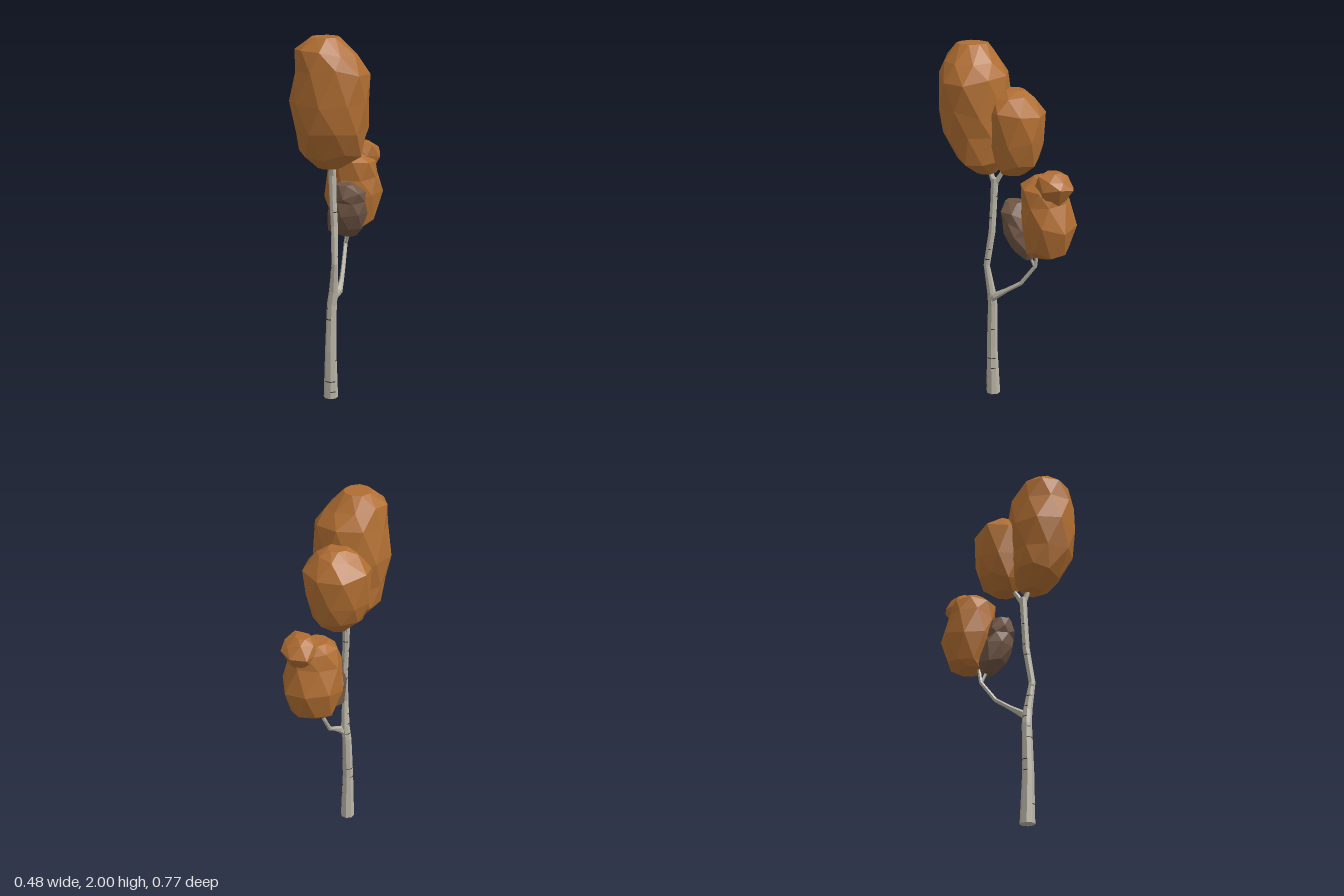
import * as THREE from 'three';

let seed = 7;
const rand = () => (seed = (seed * 16807) % 2147483647) / 2147483647;
const jitter = (a) => (rand() * 2 - 1) * a;

const paint = (color) => new THREE.MeshStandardMaterial({ color, flatShading: true, side: THREE.DoubleSide });
const bark = paint(0xb8b3a5);
const barkMark = paint(0x38332d);
const leaves = paint(0xb06e32);
const dryLeaves = paint(0x705645);

// Closed skin over rings of points, listed bottom to top; stagger makes a faceted triangle pattern
function skin(rings, bottom, top, stagger) {
  const pos = [];
  const tri = (...pts) => pts.forEach((p) => pos.push(p.x, p.y, p.z));
  const n = rings[0].length;
  const last = rings.length - 1;
  for (let k = 0; k < n; k++) {
    tri(bottom, rings[0][k], rings[0][(k + 1) % n]);
    tri(rings[last][k], top, rings[last][(k + 1) % n]);
    for (let i = 0; i < last; i++) {
      const s = stagger ? i % 2 : 0;
      const a = rings[i][k], b = rings[i][(k + 1) % n];
      const c = rings[i + 1][(k + s) % n], d = rings[i + 1][(k + s + 1) % n];
      tri(a, c, b);
      tri(b, c, d);
    }
  }
  const geo = new THREE.BufferGeometry();
  geo.setAttribute('position', new THREE.Float32BufferAttribute(pos, 3));
  geo.computeVertexNormals();
  return geo;
}

// Leaf clump from sections [y, xMin, xMax, zMin, zMax]
function clump(name, material, sides, sections) {
  const rings = sections.map(([y, x0, x1, z0, z1], i) => {
    const inner = i > 0 && i < sections.length - 1;
    return Array.from({ length: sides }, (_, k) => {
      const t = ((k + (i % 2) * 0.5) / sides) * Math.PI * 2;
      const r = 1.01 + jitter(0.05);
      return new THREE.Vector3(
        (x0 + x1) / 2 + (Math.cos(t) * r * (x1 - x0)) / 2,
        y + (inner ? jitter(0.02) : 0),
        (z0 + z1) / 2 + (Math.sin(t) * r * (z1 - z0)) / 2
      );
    });
  });
  const centre = ([y, x0, x1, z0, z1]) => new THREE.Vector3((x0 + x1) / 2, y, (z0 + z1) / 2);
  const mesh = new THREE.Mesh(skin(rings, centre(sections[0]), centre(sections.at(-1)), true), material);
  mesh.name = name;
  return mesh;
}

// Tapered limb through points [x, y, z, radius]
function limb(name, sides, path) {
  const pts = path.map(([x, y, z]) => new THREE.Vector3(x, y, z));
  const up = new THREE.Vector3(0, 1, 0);
  const rings = pts.map((p, i) => {
    const dir = pts[Math.min(i + 1, pts.length - 1)].clone().sub(pts[Math.max(i - 1, 0)]).normalize();
    if (p.y === 0) dir.copy(up);
    const q = new THREE.Quaternion().setFromUnitVectors(up, dir);
    return Array.from({ length: sides }, (_, k) => {
      const t = (k / sides) * Math.PI * 2;
      return new THREE.Vector3(Math.cos(t), 0, Math.sin(t)).multiplyScalar(path[i][3]).applyQuaternion(q).add(p);
    });
  });
  const mesh = new THREE.Mesh(skin(rings, pts[0], pts.at(-1), false), bark);
  mesh.name = name;
  return mesh;
}

export function createModel() {
  const tree = new THREE.Group();
  tree.name = 'tree';

  // Trunk with its fork under the crown
  const trunkPath = [
    [-0.028, 0, 0.102, 0.04], [-0.028, 0.28, 0.108, 0.031], [-0.022, 0.54, 0.102, 0.027],
    [-0.012, 0.62, 0.106, 0.025], [-0.004, 0.78, 0.13, 0.018], [-0.008, 0.98, 0.1, 0.019],
    [-0.017, 1.15, 0.092, 0.019], [-0.02, 1.28, 0.086, 0.021],
  ];
  tree.add(limb('trunk', 8, trunkPath));
  tree.add(limb('frontFork', 6, [[-0.02, 1.25, 0.088, 0.017], [-0.022, 1.32, 0.115, 0.013], [-0.03, 1.45, 0.16, 0.01]]));
  tree.add(limb('backFork', 6, [[-0.02, 1.25, 0.084, 0.017], [-0.012, 1.33, 0.035, 0.011], [0, 1.45, -0.03, 0.009]]));

  // Side branch and its twig
  tree.add(limb('sideBranch', 6, [
    [-0.014, 0.57, 0.105, 0.014], [0.015, 0.61, 0.08, 0.02], [0.026, 0.655, 0.01, 0.013],
    [0.03, 0.705, -0.07, 0.012], [0.038, 0.815, -0.152, 0.011], [0.05, 0.9, -0.165, 0.01], [0.065, 1.02, -0.2, 0.008],
  ]));
  tree.add(limb('twig', 5, [[0.038, 0.81, -0.15, 0.009], [0.055, 0.87, -0.13, 0.008], [0.05, 0.98, -0.07, 0.006]]));

  // Dark streaks wrapped around part of the trunk
  const marks = new THREE.Group();
  marks.name = 'barkMarks';
  for (let i = 0; i < 20; i++) {
    const y = 0.04 + i * 0.06;
    const j = trunkPath.findIndex((p) => p[1] > y);
    const [a, b] = [trunkPath[j - 1], trunkPath[j]];
    const f = (y - a[1]) / (b[1] - a[1]);
    const [x, , z, r] = a.map((v, k) => v + (b[k] - v) * f);
    const start = Math.floor(rand() * 8) * (Math.PI / 4);
    const streak = new THREE.Mesh(
      new THREE.CylinderGeometry(r * 1.025, r * 1.025, 0.005, 1 + (i % 2), 1, true, start, (1 + (i % 2)) * (Math.PI / 4)),
      barkMark
    );
    streak.position.set(x, y, z);
    marks.add(streak);
  }
  tree.add(marks);

  // Leaf clumps
  tree.add(clump('mainCrown', leaves, 9, [
    [1.31, -0.09, 0.03, 0.08, 0.19],
    [1.39, -0.19, 0.14, 0.03, 0.29],
    [1.52, -0.21, 0.17, 0.0, 0.365],
    [1.66, -0.235, 0.175, -0.01, 0.385],
    [1.83, -0.21, 0.175, 0.02, 0.385],
    [1.93, -0.2, 0.12, 0.07, 0.36],
    [2.0, -0.12, 0.025, 0.13, 0.29],
  ]));
  tree.add(clump('backCrown', leaves, 8, [
    [1.32, -0.06, 0.06, -0.08, 0.05],
    [1.38, -0.13, 0.13, -0.15, 0.09],
    [1.5, -0.17, 0.16, -0.185, 0.12],
    [1.66, -0.18, 0.175, -0.19, 0.12],
    [1.74, -0.11, 0.11, -0.13, 0.09],
    [1.775, -0.05, 0.05, -0.08, 0.04],
  ]));
  tree.add(clump('lowerCrown', leaves, 8, [
    [0.895, -0.01, 0.13, -0.28, -0.13],
    [0.93, -0.04, 0.2, -0.34, -0.11],
    [1.08, -0.09, 0.235, -0.38, -0.075],
    [1.2, -0.075, 0.215, -0.335, -0.08],
    [1.28, -0.045, 0.2, -0.32, -0.08],
    [1.33, 0.0, 0.12, -0.27, -0.14],
  ]));
  tree.add(clump('lowerCrownTop', leaves, 7, [
    [1.2, 0.06, 0.18, -0.31, -0.19],
    [1.29, 0.03, 0.23, -0.38, -0.17],
    [1.35, 0.04, 0.21, -0.34, -0.18],
    [1.375, 0.08, 0.16, -0.3, -0.22],
  ]));
  tree.add(clump('dryClump', dryLeaves, 7, [
    [0.87, 0.01, 0.1, -0.15, -0.09],
    [0.92, -0.06, 0.14, -0.17, -0.02],
    [1.0, -0.065, 0.16, -0.15, 0.025],
    [1.07, -0.04, 0.16, -0.14, 0.02],
    [1.12, -0.045, 0.155, -0.13, 0.035],
    [1.18, -0.01, 0.09, -0.09, 0.015],
  ]));

  return tree;
}
